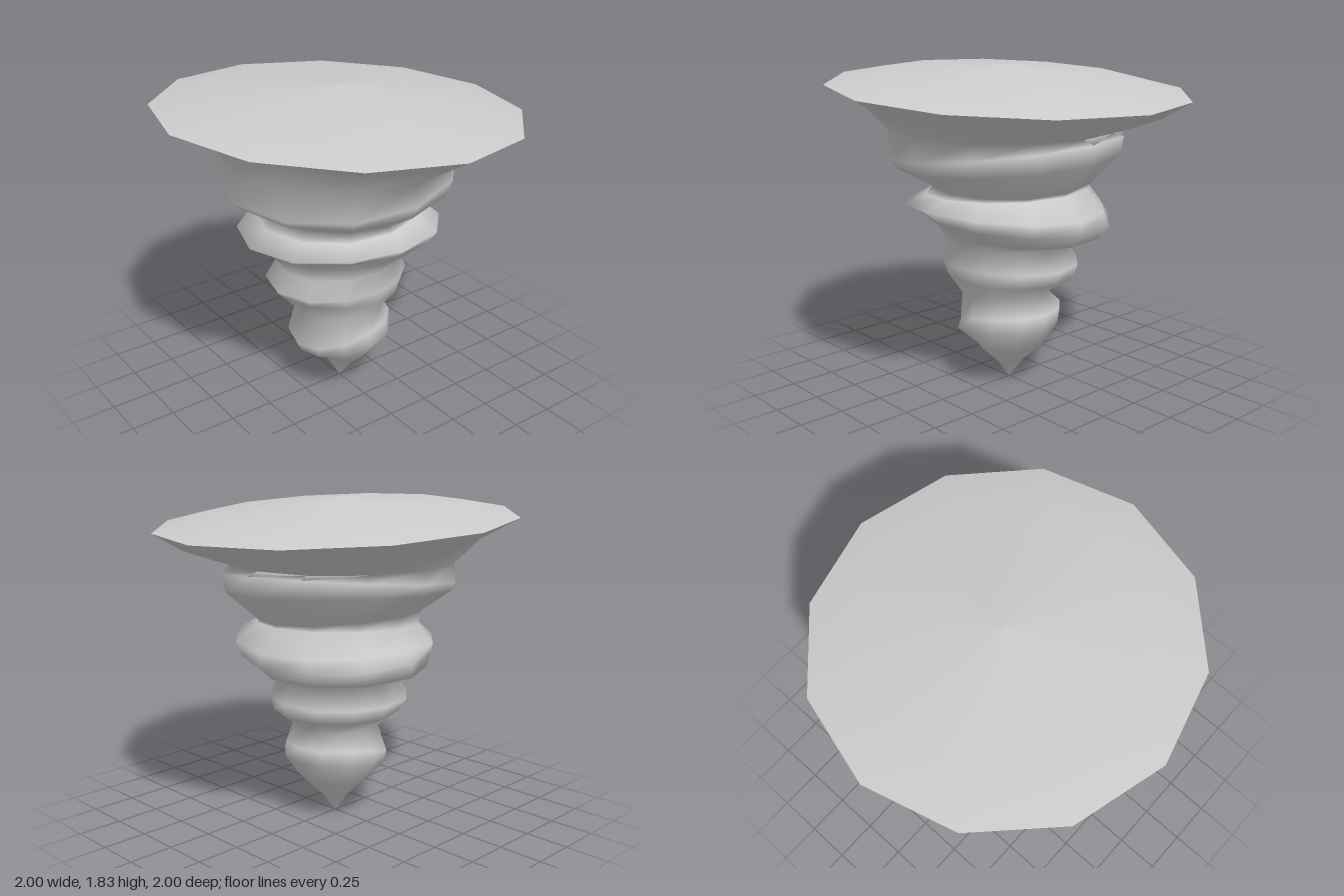
import * as THREE from 'three';

const SIDES = 12;

// Each ring: radius and height at +x, +z, -x, -z, from the tip upwards
const BODY_RINGS = [
  // pointed tip
  [0.08, 0.11, 0.08, 0.11, 0.06, 0.11, 0.08, 0.11],
  [0.20, 0.23, 0.20, 0.22, 0.13, 0.20, 0.20, 0.22],
  // first coil
  [0.29, 0.36, 0.31, 0.35, 0.275, 0.28, 0.29, 0.35],
  [0.30, 0.45, 0.28, 0.42, 0.30, 0.33, 0.30, 0.43],
  [0.22, 0.54, 0.265, 0.54, 0.26, 0.53, 0.22, 0.53],
  // second coil
  [0.37, 0.64, 0.34, 0.65, 0.40, 0.68, 0.36, 0.63],
  [0.40, 0.72, 0.36, 0.73, 0.425, 0.71, 0.40, 0.71],
  [0.33, 0.84, 0.35, 0.85, 0.37, 0.82, 0.33, 0.84],
  // third coil
  [0.48, 0.88, 0.41, 0.93, 0.41, 0.90, 0.56, 0.90],
  [0.56, 0.95, 0.50, 1.01, 0.48, 0.97, 0.57, 0.98],
  [0.56, 1.03, 0.58, 1.08, 0.59, 1.03, 0.54, 1.04],
  [0.44, 1.15, 0.46, 1.13, 0.48, 1.11, 0.46, 1.15],
  [0.45, 1.17, 0.43, 1.16, 0.45, 1.18, 0.49, 1.22],
  // fourth coil
  [0.62, 1.34, 0.62, 1.28, 0.64, 1.28, 0.64, 1.35],
  [0.64, 1.45, 0.655, 1.35, 0.675, 1.32, 0.66, 1.41],
  [0.57, 1.47, 0.65, 1.48, 0.67, 1.48, 0.64, 1.48],
  // flare
  [0.84, 1.55, 0.84, 1.60, 0.78, 1.69, 0.84, 1.60],
  [1.00, 1.64, 1.00, 1.70, 1.00, 1.76, 1.00, 1.70],
];

const CAP_RINGS = [
  BODY_RINGS[BODY_RINGS.length - 1],
  [0.75, 1.71, 0.75, 1.755, 0.75, 1.80, 0.75, 1.755],
  [0, 1.825, 0, 1.825, 0, 1.825, 0, 1.825],
];

// Smooth periodic value through four quarter-turn samples
function around(a, b, c, d, t) {
  return (a + b + c + d) / 4 + ((a - c) / 2) * Math.cos(t)
    + ((b - d) / 2) * Math.sin(t) + ((a + c - b - d) / 4) * Math.cos(2 * t);
}

// Skin joining tilted, uneven rings from bottom to top
function skin(name, rings) {
  const positions = [];
  const index = [];
  rings.forEach(([ra, ya, rb, yb, rc, yc, rd, yd], i) => {
    for (let j = 0; j < SIDES; j++) {
      const t = (j / SIDES) * Math.PI * 2;
      const r = around(ra, rb, rc, rd, t);
      positions.push(r * Math.cos(t), around(ya, yb, yc, yd, t), r * Math.sin(t));
      if (i === rings.length - 1) continue;
      const k = (j + 1) % SIDES;
      const a = i * SIDES + j, b = i * SIDES + k;
      index.push(a, a + SIDES, b, b, a + SIDES, b + SIDES);
    }
  });
  const geometry = new THREE.BufferGeometry();
  geometry.setAttribute('position', new THREE.Float32BufferAttribute(positions, 3));
  geometry.setIndex(index);
  geometry.computeVertexNormals();
  const material = new THREE.MeshStandardMaterial({ color: 0xcccccc, side: THREE.DoubleSide });
  const mesh = new THREE.Mesh(geometry, material);
  mesh.name = name;
  return mesh;
}

export function createModel() {
  const group = new THREE.Group();
  group.name = 'twistedFunnel';
  const tip = [0, 0, 0, 0, 0, 0, 0, 0];
  group.add(skin('coiledBody', [tip, ...BODY_RINGS]));
  group.add(skin('domedCap', CAP_RINGS));
  return group;
}
